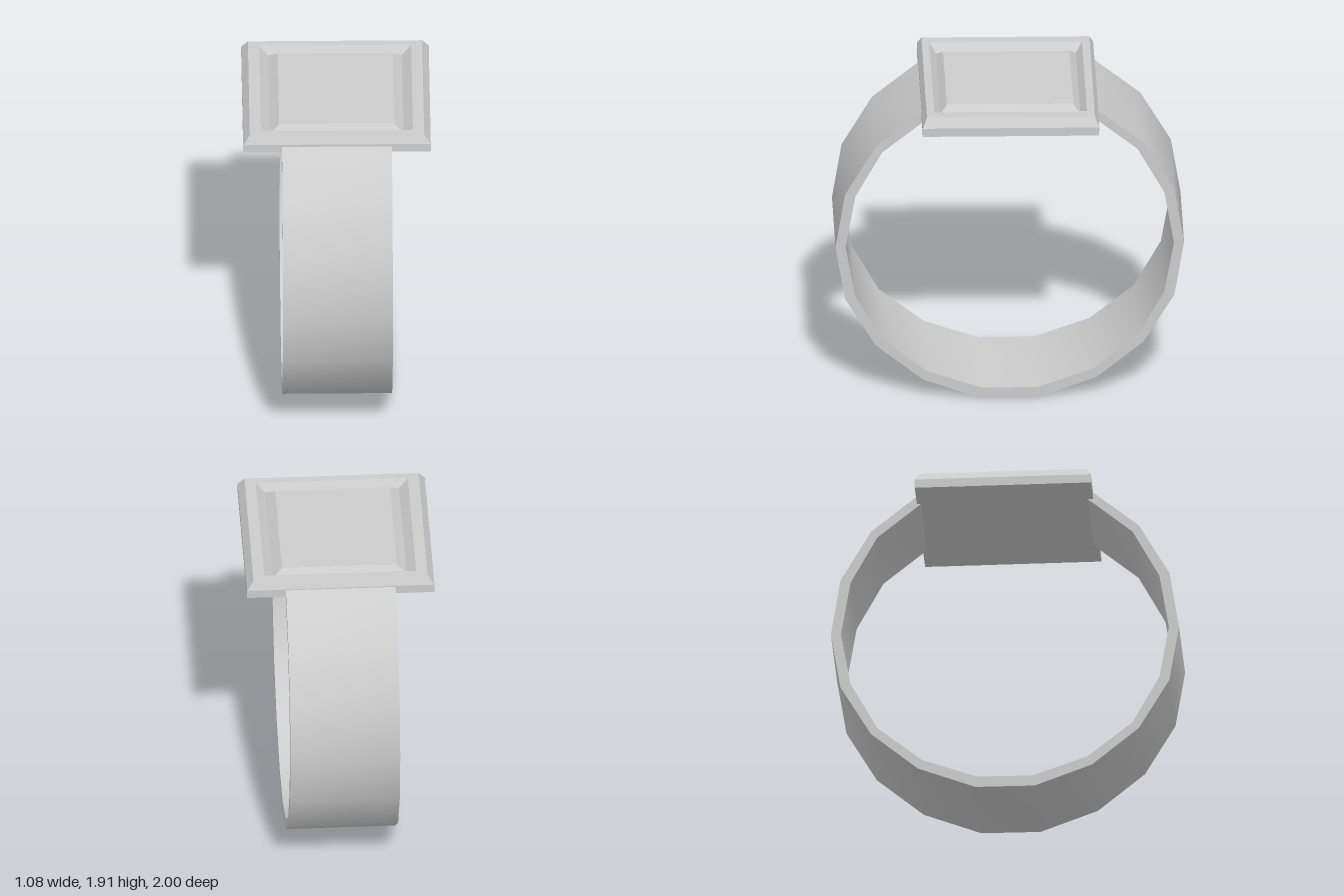
import * as THREE from 'three';
import { toCreasedNormals } from 'three/addons/utils/BufferGeometryUtils.js';

// Stack of rectangular rings [halfWidth, halfDepth, height], capped at both ends
function loftRectangles(rings) {
  const positions = [], index = [];
  const corners = [[1, 1], [1, -1], [-1, -1], [-1, 1]];
  rings.forEach(([w, d, y], r) => {
    for (const [sx, sz] of corners) positions.push(sx * w, y, sz * d);
    if (r === 0) return;
    for (let i = 0; i < 4; i++) {
      const a = (r - 1) * 4 + i, b = (r - 1) * 4 + (i + 1) % 4;
      index.push(a, b, b + 4, a, b + 4, a + 4);
    }
  });
  const t = (rings.length - 1) * 4;
  index.push(0, 2, 1, 0, 3, 2, t, t + 1, t + 2, t, t + 2, t + 3);
  const geometry = new THREE.BufferGeometry();
  geometry.setAttribute('position', new THREE.Float32BufferAttribute(positions, 3));
  geometry.setIndex(index);
  const flat = geometry.toNonIndexed();
  flat.computeVertexNormals();
  return flat;
}

export function createModel() {
  const group = new THREE.Group();
  const material = new THREE.MeshStandardMaterial({ color: 0xcccccc });

  // Strap: faceted open loop; half profiles as [z, y] from bottom to top
  const outer = [[0.17, 0], [0.5, 0.125], [0.77, 0.35], [0.945, 0.65], [1, 0.985],
    [0.945, 1.325], [0.77, 1.63], [0.508, 1.845]];
  const inner = [[0.16, 0.065], [0.475, 0.178], [0.733, 0.387], [0.887, 0.67], [0.942, 0.985],
    [0.887, 1.31], [0.733, 1.593], [0.473, 1.806]];
  const mirror = (points) => points.map(([z, y]) => [-z, y]);
  const outline = [
    ...mirror(outer).reverse(), ...outer,
    ...[...inner].reverse(), ...mirror(inner),
  ].map(([z, y]) => new THREE.Vector2(z, y));
  const width = 0.63;
  const strapGeometry = new THREE.ExtrudeGeometry(new THREE.Shape(outline), {
    depth: width, bevelEnabled: false,
  });
  strapGeometry.translate(0, 0, -width / 2);
  strapGeometry.rotateY(-Math.PI / 2);
  const strap = new THREE.Mesh(toCreasedNormals(strapGeometry, 0.6), material);
  strap.name = 'strap';
  group.add(strap);

  // Case: bevelled slab with a V groove around a raised pad, tipped very slightly
  const watchCase = new THREE.Mesh(loftRectangles([
    [0.538, 0.506, 0],
    [0.538, 0.506, 0.052],
    [0.5, 0.482, 0.105],
    [0.436, 0.438, 0.105],
    [0.384, 0.402, 0.06],
    [0.33, 0.363, 0.1],
  ]), material);
  watchCase.name = 'watchCase';
  watchCase.position.y = 1.802;
  watchCase.rotation.x = -0.008;
  group.add(watchCase);

  return group;
}
